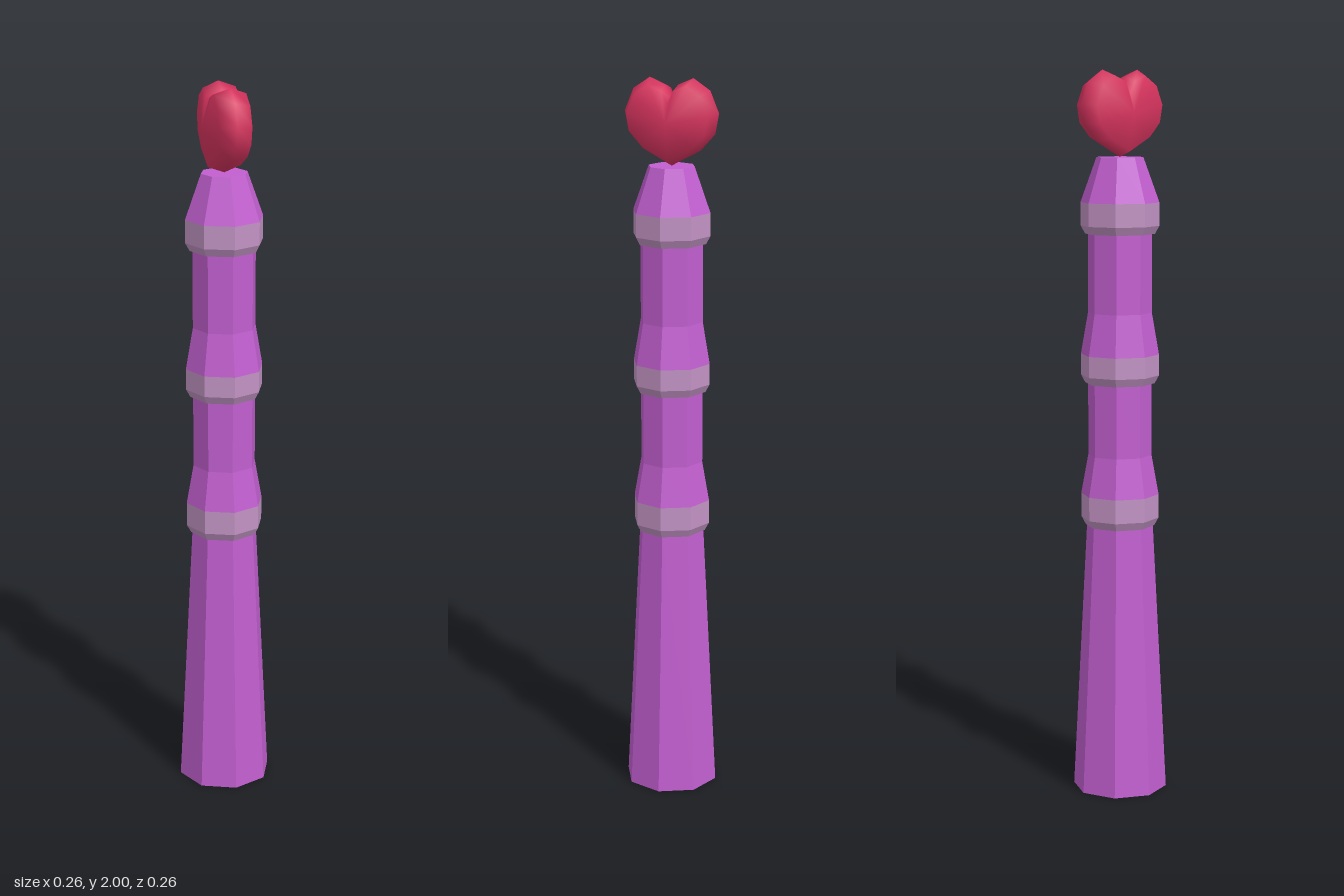
import * as THREE from 'three';
import { mergeVertices } from 'three/addons/utils/BufferGeometryUtils.js';

const purple = new THREE.MeshStandardMaterial({ color: 0xc25fd0, flatShading: true });
const pale = new THREE.MeshStandardMaterial({ color: 0xc293c4, flatShading: true });
const red = new THREE.MeshStandardMaterial({ color: 0xd8345f });

// Eight-sided turned section from [radius, height] pairs, bottom to top
function turned(name, profile, material) {
  const points = profile.map(([r, y]) => new THREE.Vector2(r, y));
  const mesh = new THREE.Mesh(new THREE.LatheGeometry(points, 8), material);
  mesh.name = name;
  return mesh;
}

// Puffed heart: outline rim, bevelled shoulders and a shallow peak on each side
function heartGeometry() {
  const half = [[0.08, 1.81], [0.12, 1.855], [0.13, 1.91], [0.106, 1.969],
    [0.06, 2.0], [0.018, 1.982]];
  const outline = [[0, 1.767], ...half, [0, 1.943],
    ...half.slice().reverse().map(([u, y]) => [-u, y])];
  const levels = [[-0.063, 0], [-0.045, 0.86], [0, 1], [0.045, 0.86], [0.063, 0]];
  const n = outline.length, cy = 1.885;
  const positions = [], index = [];
  levels.forEach(([x, s], j) => outline.forEach(([u, y], i) => {
    positions.push(x, cy + (y - cy) * s, -u * s);
    if (j === levels.length - 1) return;
    const k = (i + 1) % n;
    const a = j * n + i, b = j * n + k, c = b + n, d = a + n;
    if (j > 0) index.push(a, b, c);
    if (j < levels.length - 2) index.push(a, c, d);
    if (j === 0) index.push(a, c, d);
    if (j === levels.length - 2) return;
  }));
  const geometry = new THREE.BufferGeometry();
  geometry.setAttribute('position', new THREE.Float32BufferAttribute(positions, 3));
  geometry.setIndex(index);
  const merged = mergeVertices(geometry);
  merged.computeVertexNormals();
  return merged;
}

export function createModel() {
  const group = new THREE.Group();
  group.name = 'heartToppedStaff';

  // Shaft sections
  group.add(turned('lowerShaft', [[0, 0], [0.131, 0], [0.092, 0.755]], purple));
  group.add(turned('middleShaft', [[0.108, 0.84], [0.088, 0.95], [0.088, 1.15]], purple));
  group.add(turned('upperShaft', [[0.108, 1.23], [0.088, 1.345], [0.088, 1.565]], purple));
  group.add(turned('taperedCap', [[0.108, 1.645], [0.064, 1.767], [0, 1.767]], purple));

  // Collars with a chamfered underside
  [[0.752, 0.84], [1.15, 1.23], [1.56, 1.645]].forEach(([bottom, top], i) => {
    group.add(turned(`collar${i + 1}`,
      [[0.086, bottom], [0.096, bottom], [0.108, bottom + 0.022], [0.108, top]], pale));
  });

  const heart = new THREE.Mesh(heartGeometry(), red);
  heart.name = 'heart';
  group.add(heart);
  return group;
}
